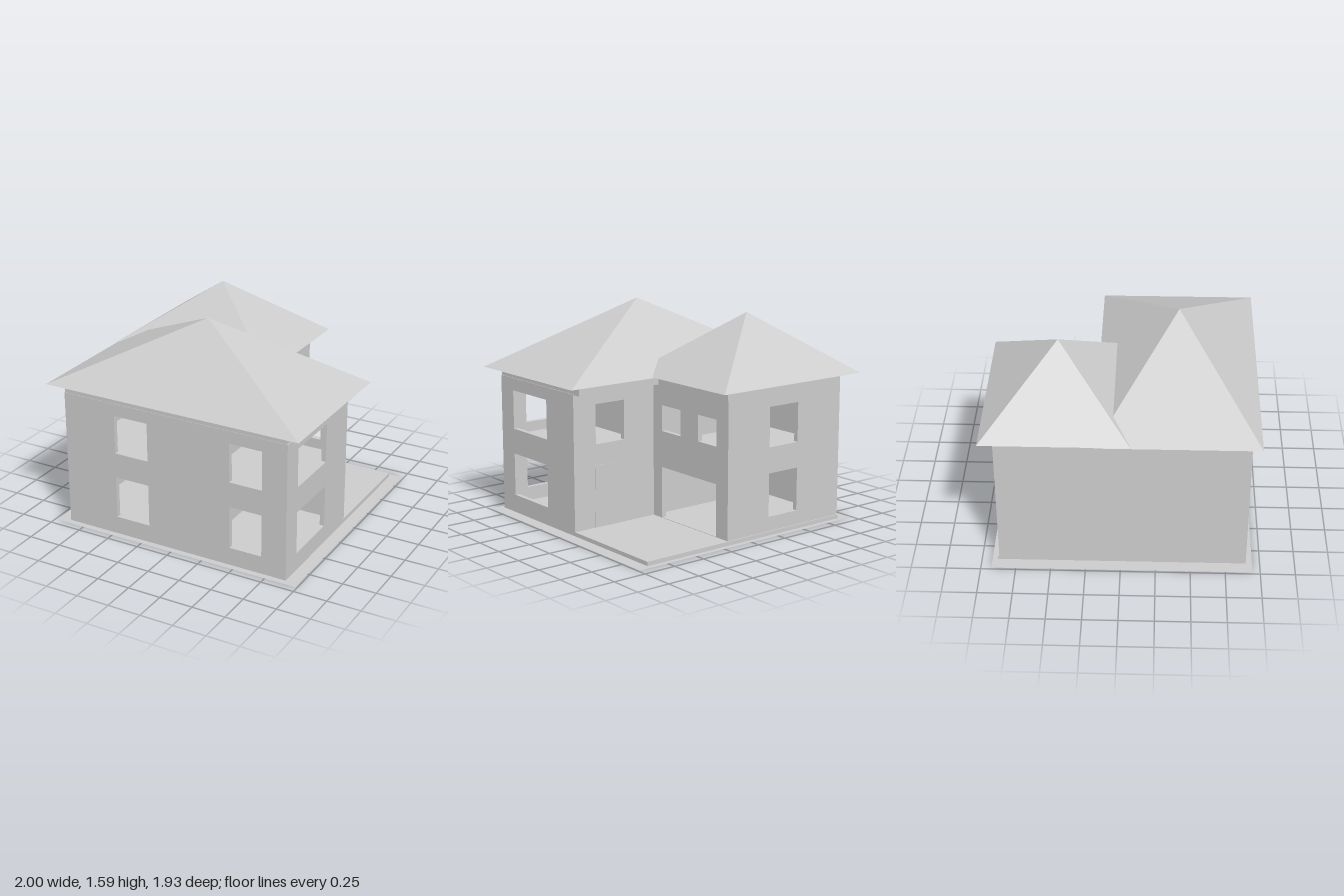
import * as THREE from 'three';

const T = 0.035; // wall thickness

export function createModel() {
  const house = new THREE.Group();
  house.name = 'house';
  const material = new THREE.MeshStandardMaterial({ color: 0xcccccc, flatShading: true, side: THREE.DoubleSide });

  const add = (name, geometry) => {
    const mesh = new THREE.Mesh(geometry, material);
    mesh.name = name;
    house.add(mesh);
    return mesh;
  };

  // Box given by its limits on each axis
  const block = (name, x0, x1, y0, y1, z0, z1) =>
    add(name, new THREE.BoxGeometry(x1 - x0, y1 - y0, z1 - z0))
      .position.set((x0 + x1) / 2, (y0 + y1) / 2, (z0 + z1) / 2);

  const rectangle = (target, u0, u1, v0, v1) => {
    target.moveTo(u0, v0);
    target.lineTo(u1, v0);
    target.lineTo(u1, v1);
    target.lineTo(u0, v1);
    target.closePath();
    return target;
  };

  // Wall with openings [u0, u1, y0, y1]; u runs along x or, for side walls, along z
  const wall = (u0, u1, openings = []) => {
    const shape = rectangle(new THREE.Shape(), u0, u1, 0.03, 1.03);
    openings.forEach(o => shape.holes.push(rectangle(new THREE.Path(), ...o)));
    return new THREE.ExtrudeGeometry(shape, { depth: T, bevelEnabled: false });
  };
  // Wall facing front or back, occupying zMin to zMin + T
  const crossWall = (name, zMin, ...spec) => {
    add(name, wall(...spec)).position.z = zMin;
  };
  // Wall facing sideways, occupying xMax - T to xMax
  const sideWall = (name, xMax, ...spec) => {
    const mesh = add(name, wall(...spec));
    mesh.rotation.y = -Math.PI / 2;
    mesh.position.x = xMax;
  };

  const lower = [0.135, 0.455], upper = [0.645, 0.937];
  const stacked = (u0, u1) => [[u0, u1, ...lower], [u0, u1, ...upper]];

  // Ground sheet and floors
  const ground = add('groundSheet', new THREE.PlaneGeometry(1.97, 1.87));
  ground.rotation.x = -Math.PI / 2;
  ground.position.set(0, 0, 0.01);
  block('floorSlab', -0.89, 0.89, 0, 0.03, -0.885, 0.9);
  block('frontUpperFloor', -0.87, 0.87, 0.54, 0.57, -0.02, 0.88);
  block('wingUpperFloor', -0.87, 0.16, 0.54, 0.57, -0.86, -0.02);

  // Front block
  crossWall('frontWall', 0.9 - T, -0.89, 0.89, [...stacked(-0.475, -0.205), ...stacked(0.45, 0.7)]);
  crossWall('middleWall', -0.04, -0.89, 0.89, [[0.45, 0.7, ...upper]]);
  sideWall('leftWall', 0.89, -0.04, 0.9, stacked(0.3, 0.74));
  sideWall('rightWall', -0.89 + T, -0.875, 0.9);
  sideWall('partition', 0.18, -0.02, 0.88);
  block('yardDoor', 0.44, 0.71, 0, 0.49, -0.043, -0.02);

  // Rear wing with the wide opening to the yard
  sideWall('wingYardWall', 0.18, -0.875, -0.02, [
    [-0.75, -0.14, 0.033, 0.415],
    [-0.75, -0.55, 0.685, 0.877],
    [-0.355, -0.14, 0.685, 0.877],
  ]);
  crossWall('wingBackWall', -0.875, -0.89, 0.18, stacked(-0.475, -0.205));

  // Beams under the eaves
  block('frontEaveBeam', -0.885, 0.885, 1.025, 1.097, -0.105, 0.897);
  block('wingEaveBeam', -0.885, 0.187, 1.03, 1.1, -0.877, -0.05);

  // Closed pyramid roofs
  const roof = (name, x0, x1, z0, z1, base, top) => {
    const geometry = new THREE.ConeGeometry(Math.SQRT1_2, 1, 4);
    geometry.rotateY(Math.PI / 4);
    geometry.scale(x1 - x0, top - base, z1 - z0);
    add(name, geometry).position.set((x0 + x1) / 2, (base + top) / 2, (z0 + z1) / 2);
  };
  roof('frontRoof', -1, 1, -0.18, 0.965, 1.095, 1.59);
  roof('wingRoof', -1, 0.295, -0.968, 0.07, 1.1, 1.545);

  return house;
}
